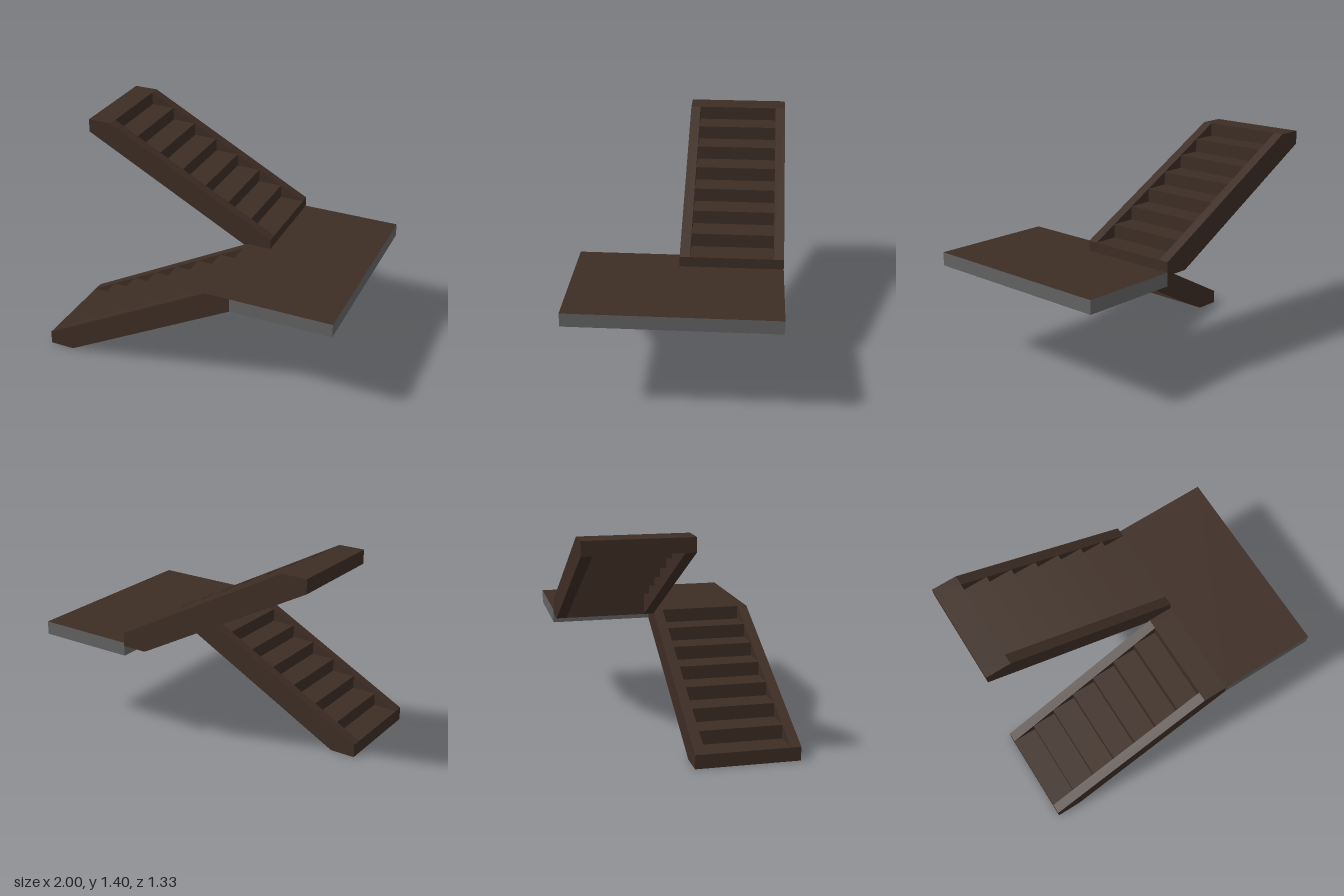
import * as THREE from 'three';

const STEPS = 8;
const RUN = 1 / 6; // tread depth
const RISE = 0.0889; // riser height
const WIDTH = 0.667; // flight width
const SIDE = 0.066; // stringer thickness
const INNER = WIDTH - 2 * SIDE;

const wood = new THREE.MeshStandardMaterial({ color: 0x3d2d24, side: THREE.DoubleSide });
wood.name = 'dark brown wood';
const concrete = new THREE.MeshStandardMaterial({ color: 0x626262 });
concrete.name = 'grey concrete';

function add(parent, name, geometry, material, x = 0, y = 0, z = 0) {
  const mesh = new THREE.Mesh(geometry, material);
  mesh.name = name;
  mesh.position.set(x, y, z);
  parent.add(mesh);
  return mesh;
}

// One flight climbing towards +x, centred on x and z, standing on y = 0
function makeFlight(name) {
  const flight = new THREE.Group();
  flight.name = name;
  const x0 = -STEPS * RUN / 2;
  const top = STEPS * RISE;

  // Sloping side boards with level and plumb cut ends
  const outline = new THREE.Shape([
    [x0, 0], [x0 + RUN, 0], [-x0, top - RISE],
    [-x0, top], [-x0 - RUN, top], [x0, RISE],
  ].map(([x, y]) => new THREE.Vector2(x, y)));
  const board = new THREE.ExtrudeGeometry(outline, { depth: SIDE, bevelEnabled: false });
  add(flight, 'stringer', board, wood, 0, 0, -WIDTH / 2);
  add(flight, 'stringer', board, wood, 0, 0, WIDTH / 2 - SIDE);

  // Closed blocks at the foot and the head
  const block = new THREE.BoxGeometry(RUN, RISE, INNER);
  add(flight, 'footStep', block, wood, x0 + RUN / 2, RISE / 2, 0);
  add(flight, 'headStep', block, wood, -x0 - RUN / 2, top - RISE / 2, 0);

  // Thin treads and risers, open underneath
  const tread = new THREE.PlaneGeometry(RUN, INNER).rotateX(-Math.PI / 2);
  const riser = new THREE.PlaneGeometry(INNER, RISE).rotateY(-Math.PI / 2);
  for (let k = 1; k < STEPS - 1; k++) {
    add(flight, 'riser', riser, wood, x0 + k * RUN, (k + 0.5) * RISE, 0);
    add(flight, 'tread', tread, wood, x0 + (k + 0.5) * RUN, (k + 1) * RISE, 0);
  }
  return flight;
}

export function createModel() {
  const model = new THREE.Group();
  model.name = 'staircase';

  const lower = makeFlight('lowerFlight');
  lower.position.set(-1 / 3, 0, WIDTH / 2);
  model.add(lower);

  // The upper flight turns back over the landing
  const upper = makeFlight('upperFlight');
  upper.rotation.y = Math.PI;
  upper.position.set(-1 / 3, 0.689, -WIDTH / 2);
  model.add(upper);

  // Landing slab with a wooden top face
  const faces = [concrete, concrete, wood, concrete, concrete, concrete];
  add(model, 'landing', new THREE.BoxGeometry(2 / 3, RISE, 2 * WIDTH), faces,
    2 / 3, (STEPS - 0.5) * RISE, 0);

  return model;
}
